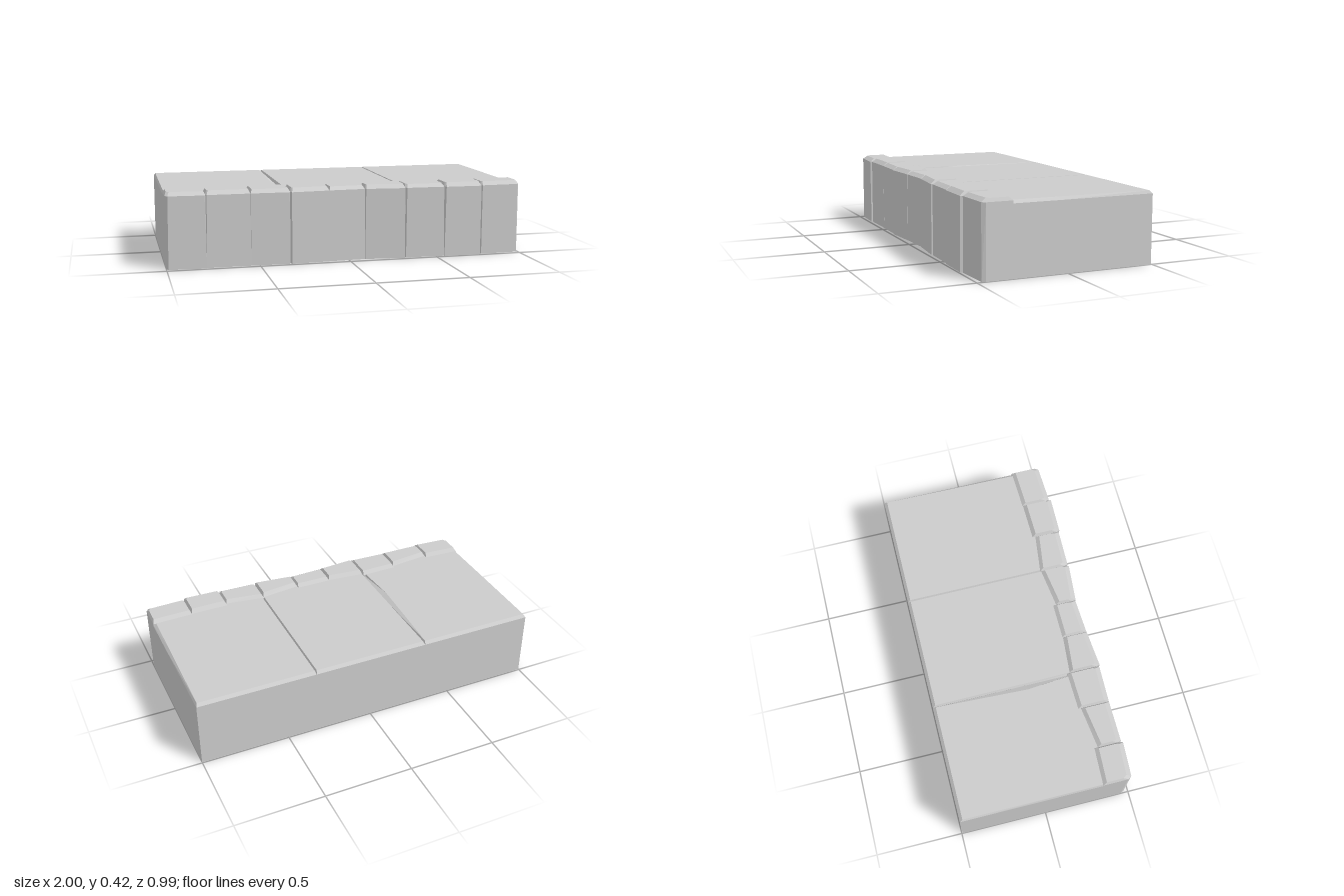
import * as THREE from 'three';

const material = new THREE.MeshStandardMaterial({ color: 0xcccccc, flatShading: true });

// Solid through stacked loops of [x, y, z], each counterclockwise seen from above.
function loft(name, loops) {
  const pos = [];
  const tri = (a, b, c) => pos.push(...a, ...b, ...c);
  const n = loops[0].length;
  for (let k = 0; k < loops.length - 1; k++) {
    const lo = loops[k], hi = loops[k + 1];
    for (let i = 0; i < n; i++) {
      const j = (i + 1) % n;
      tri(lo[i], lo[j], hi[j]);
      tri(lo[i], hi[j], hi[i]);
    }
  }
  const bottom = loops[0], top = loops[loops.length - 1];
  for (let i = 1; i < n - 1; i++) {
    tri(bottom[0], bottom[i + 1], bottom[i]);
    tri(top[0], top[i], top[i + 1]);
  }
  const geometry = new THREE.BufferGeometry();
  geometry.setAttribute('position', new THREE.Float32BufferAttribute(pos, 3));
  geometry.computeVertexNormals();
  const mesh = new THREE.Mesh(geometry, material);
  mesh.name = name;
  return mesh;
}

// Paving slab with a bevelled back edge and sides; insets are [back, middle, front].
function slab(x0, x1, left, right) {
  const back = -0.495, mid = 0.05, front = 0.36;
  const loop = (y, l, r, b) => [
    [x0 + l[0], y, back + b], [x0 + l[1], y, mid], [x0 + l[2], y, front],
    [x1 - r[2], y, front], [x1 - r[1], y, mid], [x1 - r[0], y, back + b],
  ];
  const none = [0, 0, 0];
  return loft('pavingSlab', [
    loop(0, none, none, 0), loop(0.379, none, none, 0), loop(0.395, left, right, 0.016),
  ]);
}

// Edge stone: chamfered front corners make the joints, top edges are bevelled.
function edgeStone(x0, x1, [f0, f1, b0, b1], top, jointL, jointR) {
  const depth = 0.02;
  const loop = (y, gl, gr, side = 0, front = 0, rear = 0) => [
    [x0 + side, y, b0 + rear],
    [x0 + side, y, f0 - depth - front],
    [x0 + gl + side, y, f0 - front],
    [x1 - gr - side, y, f1 - front],
    [x1 - side, y, f1 - depth - front],
    [x1 - side, y, b1 + rear],
  ];
  return loft('edgeStone', [
    loop(0, jointL[0], jointR[0]),
    loop(0.394, jointL[1], jointR[1]),
    loop(top, jointL[1], jointR[1], 0.009, 0.028, 0.022),
  ]);
}

export function createModel() {
  const model = new THREE.Group();
  model.name = 'pavedStep';

  // Three large slabs behind the edge
  const slabs = new THREE.Group();
  slabs.name = 'slabs';
  slabs.add(
    slab(-1, -0.337, [0.008, 0.006, 0.006], [0.006, 0.03, 0.006]),
    slab(-0.337, 0.325, [0.007, 0.008, 0.01], [0.006, 0.006, 0.006]),
    slab(0.325, 1, [0.005, 0.005, 0.005], [0.008, 0.014, 0.018]),
  );
  model.add(slabs);

  // Joints: x, chamfer at the bottom, chamfer at the top
  const joints = [
    [-1, 0.01, 0.014], [-0.787, 0.0005, 0.006], [-0.547, 0.0005, 0.001],
    [-0.33, 0.006, 0.006], [-0.113, 0.0005, 0.001], [0.093, 0.0005, 0.004],
    [0.322, 0.004, 0.007], [0.549, 0.0005, 0.006], [0.767, 0.006, 0.006],
    [1, 0.01, 0.014],
  ];
  // Per stone: front z left and right, back z left and right, top height
  const stones = [
    [0.475, 0.485, 0.31, 0.32, 0.413], [0.476, 0.475, 0.34, 0.31, 0.415],
    [0.475, 0.48, 0.295, 0.29, 0.413], [0.485, 0.468, 0.305, 0.325, 0.415],
    [0.467, 0.457, 0.322, 0.322, 0.412], [0.46, 0.48, 0.34, 0.31, 0.415],
    [0.475, 0.48, 0.305, 0.335, 0.412], [0.487, 0.491, 0.318, 0.315, 0.416],
    [0.48, 0.472, 0.312, 0.305, 0.413],
  ];
  const edge = new THREE.Group();
  edge.name = 'frontEdge';
  stones.forEach((s, i) => {
    const [x0, ...jl] = joints[i];
    const [x1, ...jr] = joints[i + 1];
    edge.add(edgeStone(x0, x1, s.slice(0, 4), s[4], jl, jr));
  });
  model.add(edge);
  return model;
}
